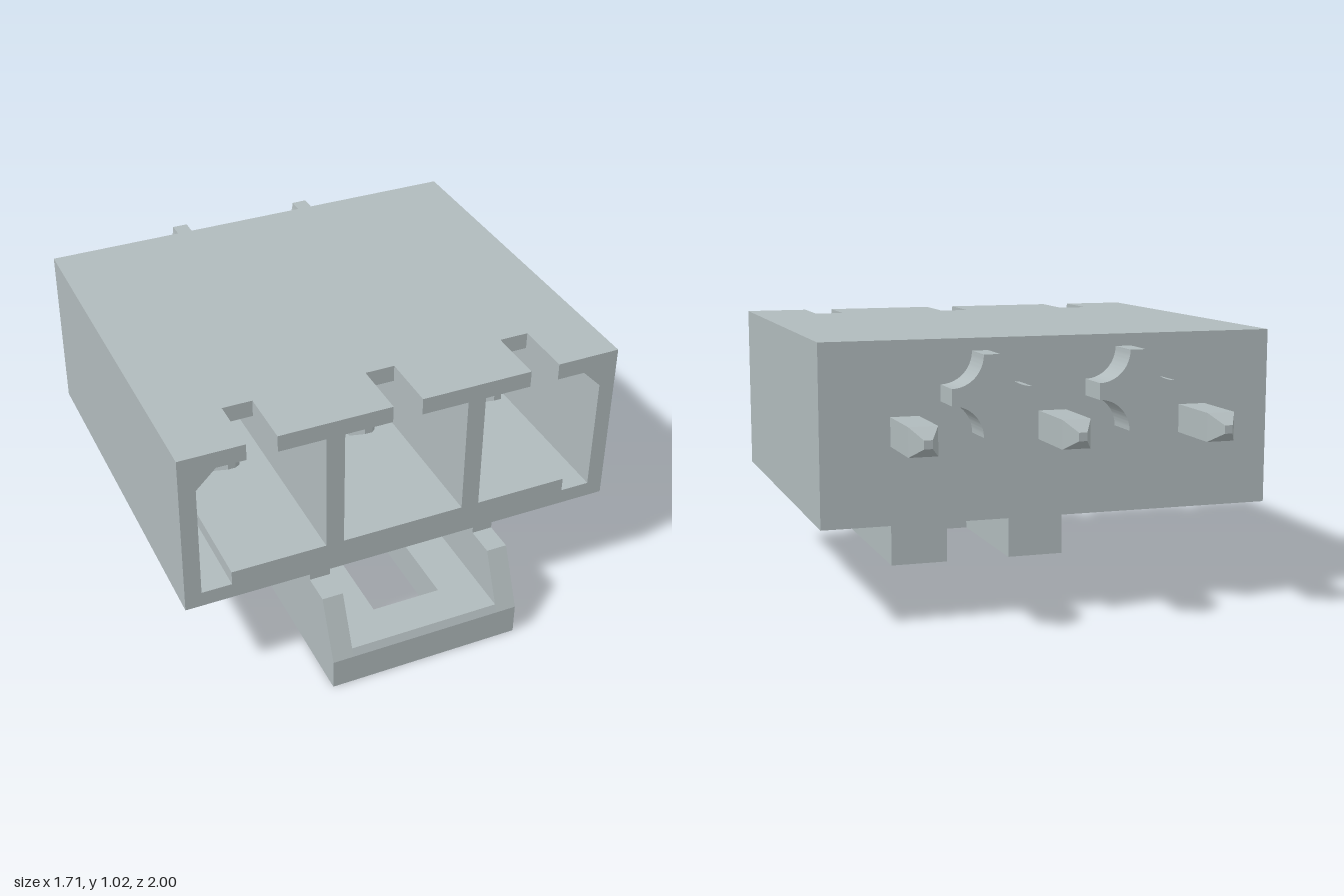
import * as THREE from 'three';
import { toCreasedNormals } from 'three/addons/utils/BufferGeometryUtils.js';

export function createModel() {
  const model = new THREE.Group();
  model.name = 'connectorHeader';
  const plastic = new THREE.MeshStandardMaterial({ color: 0xb0babc });
  plastic.name = 'greyPlastic';

  const add = (parent, name, geometry) => {
    const mesh = new THREE.Mesh(geometry, plastic);
    mesh.name = name;
    parent.add(mesh);
    return mesh;
  };
  const vecs = (pts) => pts.map(([x, y]) => new THREE.Vector2(x, y));
  const box = (x0, x1, y0, y1, z0, z1) =>
    new THREE.BoxGeometry(x1 - x0, y1 - y0, z1 - z0)
      .translate((x0 + x1) / 2, (y0 + y1) / 2, (z0 + z1) / 2);
  const extrudeZ = (shape, z0, z1) =>
    new THREE.ExtrudeGeometry(shape, { depth: z1 - z0, bevelEnabled: false, curveSegments: 14 })
      .translate(0, 0, z0);
  // Side profile given as (z, y), extruded from x0 to x1
  const extrudeX = (pts, x0, x1) =>
    extrudeZ(new THREE.Shape(vecs(pts)), 0, x1 - x0).rotateY(-Math.PI / 2).translate(x1, 0, 0);

  // Housing dimensions
  const W = 0.853, BOTTOM = 0.37, TOP = 1.025, CEIL = 0.96, FLOOR = 0.485;
  const BACK = -0.69, CAVITY_BACK = -0.45, SLOT_BACK = 0.555, FRONT = 0.785;
  const pinX = [-0.548, 0, 0.548];
  const slot = 0.057;

  // Cavity outlines, clockwise from the upper left corner of the ceiling
  const leftCavity = [[-0.715, CEIL], [-0.31, CEIL], [-0.31, FLOOR], [-0.675, FLOOR],
    [-0.675, 0.43], [-0.79, 0.43], [-0.79, 0.885]];
  const midCavity = [[-0.24, CEIL], [0.24, CEIL], [0.24, FLOOR], [-0.24, FLOOR]];
  const rightCavity = [[0.31, CEIL], [0.715, CEIL], [0.79, 0.885], [0.79, 0.43],
    [0.675, 0.43], [0.675, FLOOR], [0.31, FLOOR]];
  const cavities = [leftCavity, midCavity, rightCavity];

  // Housing: solid back, walled middle, and front rim with slots open through the top
  const housing = new THREE.Group();
  housing.name = 'housing';
  model.add(housing);
  add(housing, 'housingBack', box(-W, W, BOTTOM, TOP, BACK, CAVITY_BACK));

  const walls = new THREE.Shape(vecs([[-W, BOTTOM], [W, BOTTOM], [W, TOP], [-W, TOP]]));
  cavities.forEach((c) => walls.holes.push(new THREE.Path(vecs(c))));
  add(housing, 'housingWalls', extrudeZ(walls, CAVITY_BACK, SLOT_BACK));

  const rim = [[W, TOP], [W, BOTTOM], [-W, BOTTOM], [-W, TOP]];
  cavities.forEach((c, i) => {
    const l = pinX[i] - slot, r = pinX[i] + slot;
    // Down the slot, around the cavity anticlockwise, and back up
    rim.push([l, TOP], [l, CEIL], c[0], ...c.slice(1).reverse(), [r, CEIL], [r, TOP]);
  });
  add(housing, 'slottedRim', extrudeZ(new THREE.Shape(vecs(rim)), SLOT_BACK, FRONT));

  // Square contact pins with tapered ends
  const h = 0.052 * Math.SQRT2, t = 0.015 * Math.SQRT2;
  const pinProfile = vecs([[0, -1], [t, -1], [h, -0.935], [h, 0.415], [t, 0.475], [0, 0.475]]);
  pinX.forEach((x) => {
    const g = new THREE.LatheGeometry(pinProfile, 4, Math.PI / 4)
      .rotateX(Math.PI / 2).toNonIndexed();
    g.computeVertexNormals();
    add(model, 'contactPin', g).position.set(x, 0.705, 0);
  });

  // Cross-shaped mounting pegs with concave corners
  const R = 0.145, a = 0.03, r = R - a;
  const cross = new THREE.Shape();
  cross.moveTo(R, -a);
  [[1, 1], [-1, 1], [-1, -1], [1, -1]].forEach(([sx, sy], i) => {
    const start = -Math.PI / 2 + i * Math.PI / 2;
    cross.absarc(sx * R, sy * R, r, start, start - Math.PI / 2, true);
  });
  [-0.272, 0.272].forEach((x) => {
    const g = toCreasedNormals(extrudeZ(cross, -0.83, BACK), 0.5);
    add(model, 'mountingPeg', g).position.set(x, 0.835, 0);
  });

  // Latch bracket below the housing
  const latch = new THREE.Group();
  latch.name = 'latchBracket';
  model.add(latch);
  const LB = 0.215, out = 0.375, inn = 0.295, gap = 0.135, wall = 0.335;
  const cheek = [[LB, 0], [1, 0], [1, 0.12], [0.9, 0.345], [FRONT, 0.345], [FRONT, BOTTOM], [LB, BOTTOM]];
  const floor = (z) => [[z, 0], [1, 0], [1, 0.12], [0.987, 0.15], [z, 0.15]];
  [-1, 1].forEach((s) => {
    const span = (p, q) => (s > 0 ? [p, q] : [-q, -p]);
    add(latch, 'latchCheek', extrudeX(cheek, ...span(inn, out)));
    add(latch, 'latchFloor', extrudeX(floor(LB), ...span(gap, inn)));
    add(latch, 'latchBackPost', box(...span(gap, inn), 0.15, BOTTOM, LB, wall));
  });
  add(latch, 'latchFrontBar', extrudeX(floor(0.83), -gap, gap));
  add(latch, 'latchBackBridge', box(-gap, gap, 0.195, BOTTOM, LB, wall));

  return model;
}
